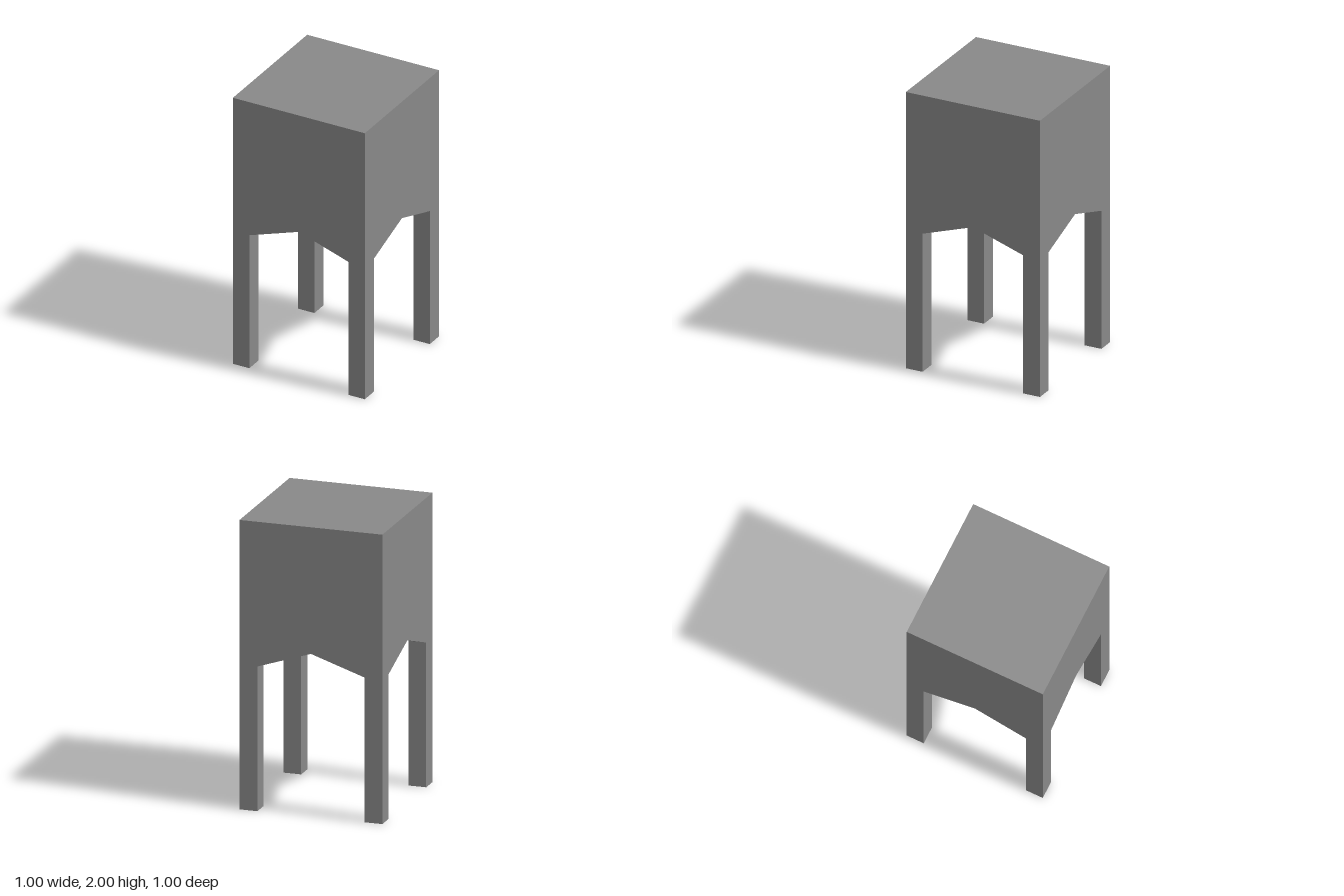
import * as THREE from 'three';
import { mergeGeometries, mergeVertices } from 'three/addons/utils/BufferGeometryUtils.js';

const HALF = 0.5, INNER = 0.375, LEG_TOP = 1, APEX = 1.125, TOP = 2;

// Repeats a geometry on all four sides and merges the copies
function fourSides(geometry) {
  const copies = [0, 1, 2, 3].map(i => geometry.clone().rotateY(i * Math.PI / 2));
  return mergeGeometries(copies);
}

// Outer wall with the pointed arch cut into its lower edge
function wallGeometry() {
  const outline = [
    [-HALF, LEG_TOP], [-INNER, LEG_TOP], [0, APEX], [INNER, LEG_TOP],
    [HALF, LEG_TOP], [HALF, TOP], [-HALF, TOP],
  ].map(([x, y]) => new THREE.Vector2(x, y));
  return new THREE.ShapeGeometry(new THREE.Shape(outline)).translate(0, 0, HALF);
}

// Underside: arch soffits, then a shallow vault closing at the centre
function undersideGeometry() {
  // Rows from the wall inwards: half width, z, height at the ends, height in the middle
  const rows = [
    [INNER, HALF, LEG_TOP, APEX],
    [INNER, INNER, LEG_TOP, APEX],
    [0.2, 0.2, 1.2, 1.24],
    [0, 0, 1.28, 1.28],
  ].map(([w, z, end, middle]) => [[-w, end, z], [0, middle, z], [w, end, z]]);
  const positions = [];
  for (let r = 0; r < rows.length - 1; r++) {
    for (let i = 0; i < 2; i++) {
      const a = rows[r][i], b = rows[r][i + 1];
      const c = rows[r + 1][i + 1], d = rows[r + 1][i];
      positions.push(...a, ...d, ...b);
      if (r < rows.length - 2) positions.push(...d, ...c, ...b);
    }
  }
  const side = new THREE.BufferGeometry();
  side.setAttribute('position', new THREE.Float32BufferAttribute(positions, 3));
  const geometry = mergeVertices(fourSides(side));
  geometry.computeVertexNormals();
  return geometry;
}

export function createModel() {
  const model = new THREE.Group();
  model.name = 'fourLeggedBlock';
  const material = new THREE.MeshStandardMaterial({ color: 0x888888 });
  const add = (geometry, name) => {
    const mesh = new THREE.Mesh(geometry, material);
    mesh.name = name;
    model.add(mesh);
    return mesh;
  };

  // Block: four arched walls, flat top and vaulted underside
  add(fourSides(wallGeometry()), 'walls');
  add(new THREE.PlaneGeometry(2 * HALF, 2 * HALF).rotateX(-Math.PI / 2).translate(0, TOP, 0), 'top');
  add(undersideGeometry(), 'vaultedUnderside');

  // Square legs flush with the corners
  const width = HALF - INNER, offset = (HALF + INNER) / 2;
  const legGeometry = new THREE.BoxGeometry(width, LEG_TOP, width);
  for (const x of [-1, 1]) {
    for (const z of [-1, 1]) {
      const name = (z > 0 ? 'front' : 'back') + (x > 0 ? 'Left' : 'Right') + 'Leg';
      add(legGeometry, name).position.set(x * offset, LEG_TOP / 2, z * offset);
    }
  }
  return model;
}
